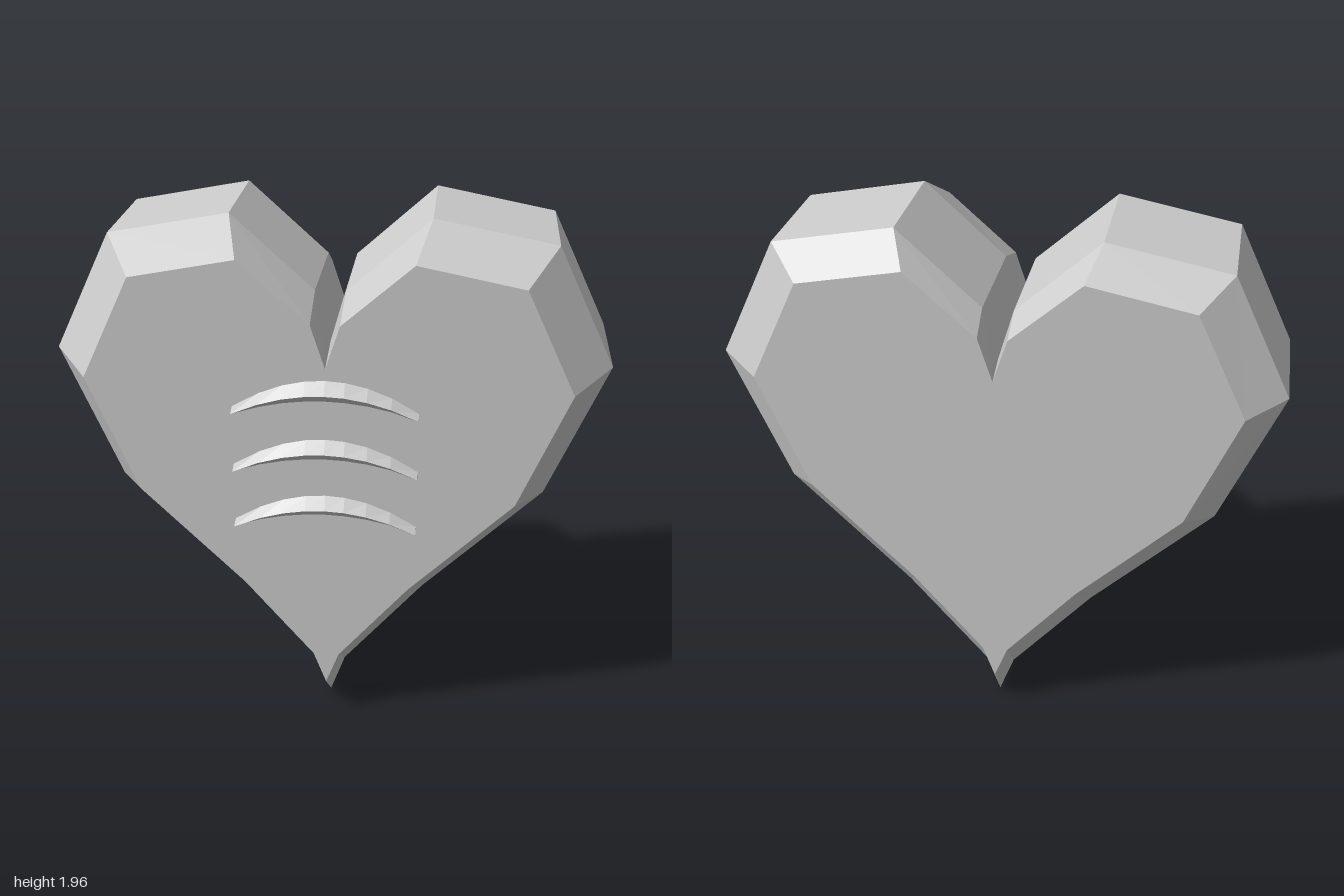
import * as THREE from 'three';

// Skin a series of matching rings, each counterclockwise seen from the first ring's side, and cap both ends.
function loft(rings, caps) {
  const pos = [];
  const tri = (...pts) => pts.forEach((p) => pos.push(...p));
  for (let r = 0; r < rings.length - 1; r++) {
    const a = rings[r], b = rings[r + 1], n = a.length;
    for (let i = 0; i < n; i++) {
      const j = (i + 1) % n;
      tri(a[i], b[i], b[j]);
      tri(a[i], b[j], a[j]);
    }
  }
  const first = rings[0], last = rings[rings.length - 1];
  for (const [i, j, k] of caps) {
    tri(first[i], first[j], first[k]);
    tri(last[k], last[j], last[i]);
  }
  const geometry = new THREE.BufferGeometry();
  geometry.setAttribute('position', new THREE.Float32BufferAttribute(pos, 3));
  geometry.computeVertexNormals();
  return geometry;
}

// Full heart outline from its right half, listed from notch to tip.
function heartOutline(half) {
  const left = half.map(([x, y]) => [-x, y]);
  const right = half.slice(1, -1).reverse();
  return [...left, ...right];
}

export function createModel() {
  const model = new THREE.Group();
  const grey = new THREE.MeshStandardMaterial({ color: 0xcccccc, flatShading: true });
  grey.name = 'light grey';

  // Heart body: wide middle band with bevels to a smaller front and back
  const outer = heartOutline([[0, 1.505], [0.055, 1.693], [0.353, 1.963], [0.788, 1.88],
    [1, 1.445], [0.788, 0.94], [0.353, 0.51], [0.055, 0.158], [0, 0.005]]);
  const inner = heartOutline([[0, 1.47], [0.052, 1.63], [0.305, 1.853], [0.68, 1.78],
    [0.86, 1.405], [0.68, 0.972], [0.305, 0.6], [0.048, 0.295], [0, 0.168]]);
  const at = (outline, z) => outline.map(([x, y]) => [x, y, z]);
  const caps = THREE.ShapeUtils.triangulateShape(inner.map(([x, y]) => new THREE.Vector2(x, y)), []);
  const body = new THREE.Mesh(
    loft([at(inner, 0.346), at(outer, 0.16), at(outer, -0.285), at(inner, -0.393)], caps), grey);
  body.name = 'heartBody';
  model.add(body);

  // Arched ridges: triangular section that thins towards both ends
  const sections = [0.33, 0.235, 0.15, 0.07, 0, -0.07, -0.15, -0.235, -0.33].map((x) => {
    const t = (x / 0.33) ** 2;
    return [[x, -0.11 * t, 0.353], [x, -0.043 - 0.08 * t, 0.393], [x, -0.078 - 0.06 * t, 0.353]];
  });
  const ridgeGeometry = loft(sections, [[0, 1, 2]]);
  for (const [i, y] of [1.43, 1.205, 0.982].entries()) {
    const ridge = new THREE.Mesh(ridgeGeometry, grey);
    ridge.position.y = y;
    ridge.name = 'frontRidge' + (i + 1);
    model.add(ridge);
  }
  return model;
}
